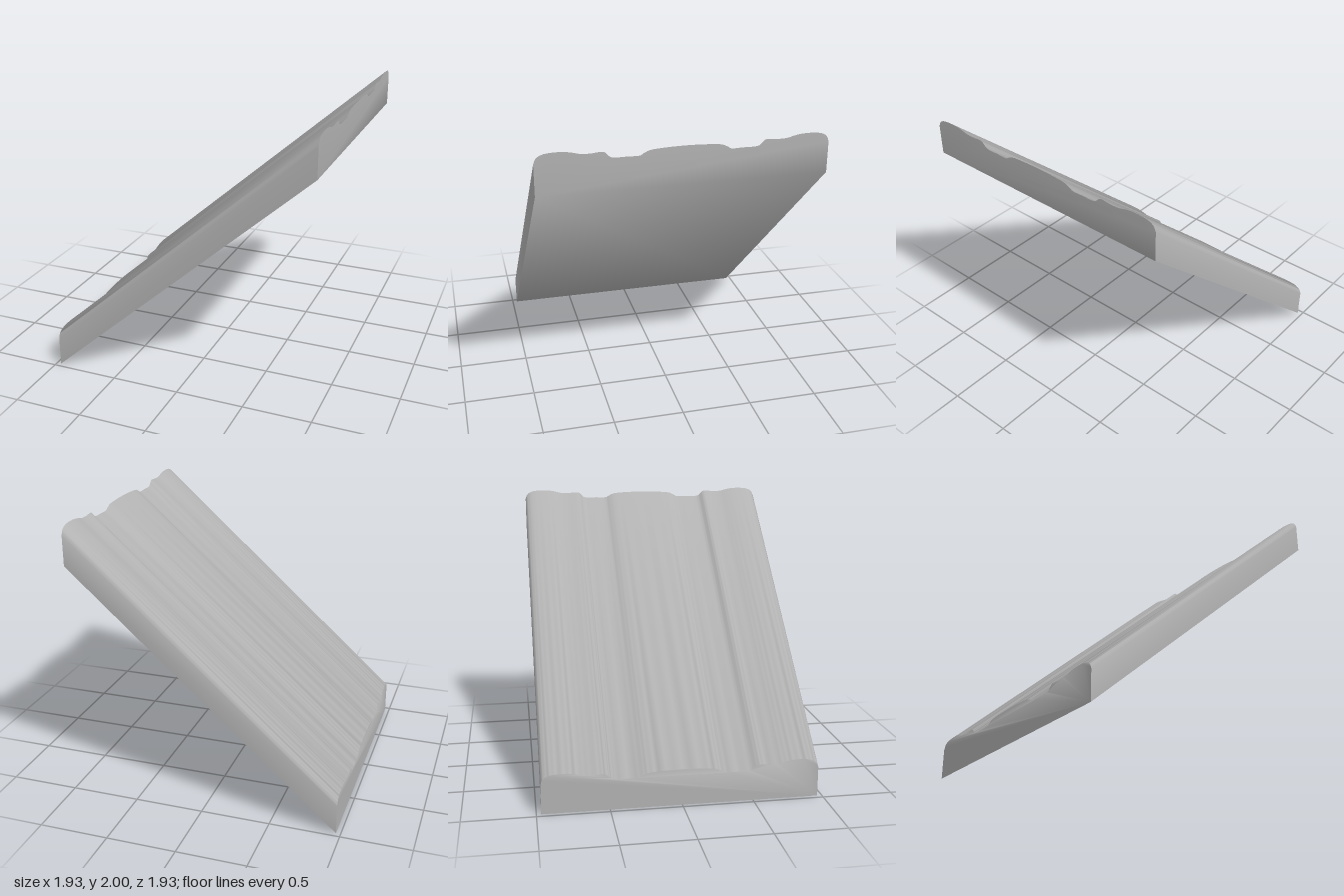
import * as THREE from 'three';
import { toCreasedNormals } from 'three/addons/utils/BufferGeometryUtils.js';

const HALF = 0.967; // half length and half width
const RISE = 1.72;  // climb from the low end to the high end

// Half of the moulding's section: [distance from centre, height]
const HALF_PROFILE = [
  [0.967, 0.215], [0.95, 0.251], [0.917, 0.271], [0.864, 0.28], [0.784, 0.28],
  [0.726, 0.271], [0.678, 0.259], [0.615, 0.256], [0.56, 0.261], [0.527, 0.259],
  [0.509, 0.243], [0.488, 0.224], [0.462, 0.218], [0.38, 0.218], [0.298, 0.218],
  [0.276, 0.231], [0.238, 0.248], [0.164, 0.256], [0, 0.261],
];

function mouldingShape() {
  const mirrored = HALF_PROFILE.slice(0, -1).reverse().map(([w, h]) => [-w, h]);
  const knots = [...HALF_PROFILE, ...mirrored].map(([w, h]) => new THREE.Vector3(w, h, 0));
  const top = new THREE.CatmullRomCurve3(knots, false, 'centripetal').getPoints(108);
  return new THREE.Shape([
    new THREE.Vector2(-HALF, 0),
    new THREE.Vector2(HALF, 0),
    ...top.map((p) => new THREE.Vector2(p.x, p.y)),
  ]);
}

export function createModel() {
  const group = new THREE.Group();
  group.name = 'slopedMoulding';

  const grey = new THREE.MeshStandardMaterial({ color: 0xb3b3b3 });
  grey.name = 'plain grey';

  // Extrude the section along x
  const geometry = new THREE.ExtrudeGeometry(mouldingShape(), {
    depth: 2 * HALF, steps: 1, bevelEnabled: false,
  });
  geometry.translate(0, 0, -HALF).rotateY(Math.PI / 2);

  // Shear upward towards +x, keeping both ends vertical
  const pos = geometry.attributes.position;
  for (let i = 0; i < pos.count; i++) {
    pos.setY(i, pos.getY(i) + RISE * (pos.getX(i) + HALF) / (2 * HALF));
  }

  // Smooth along the grooves and over the low end, sharp at the other edges
  geometry.clearGroups();
  const moulding = new THREE.Mesh(toCreasedNormals(geometry, Math.PI / 3), grey);
  moulding.name = 'moulding';
  group.add(moulding);
  return group;
}
